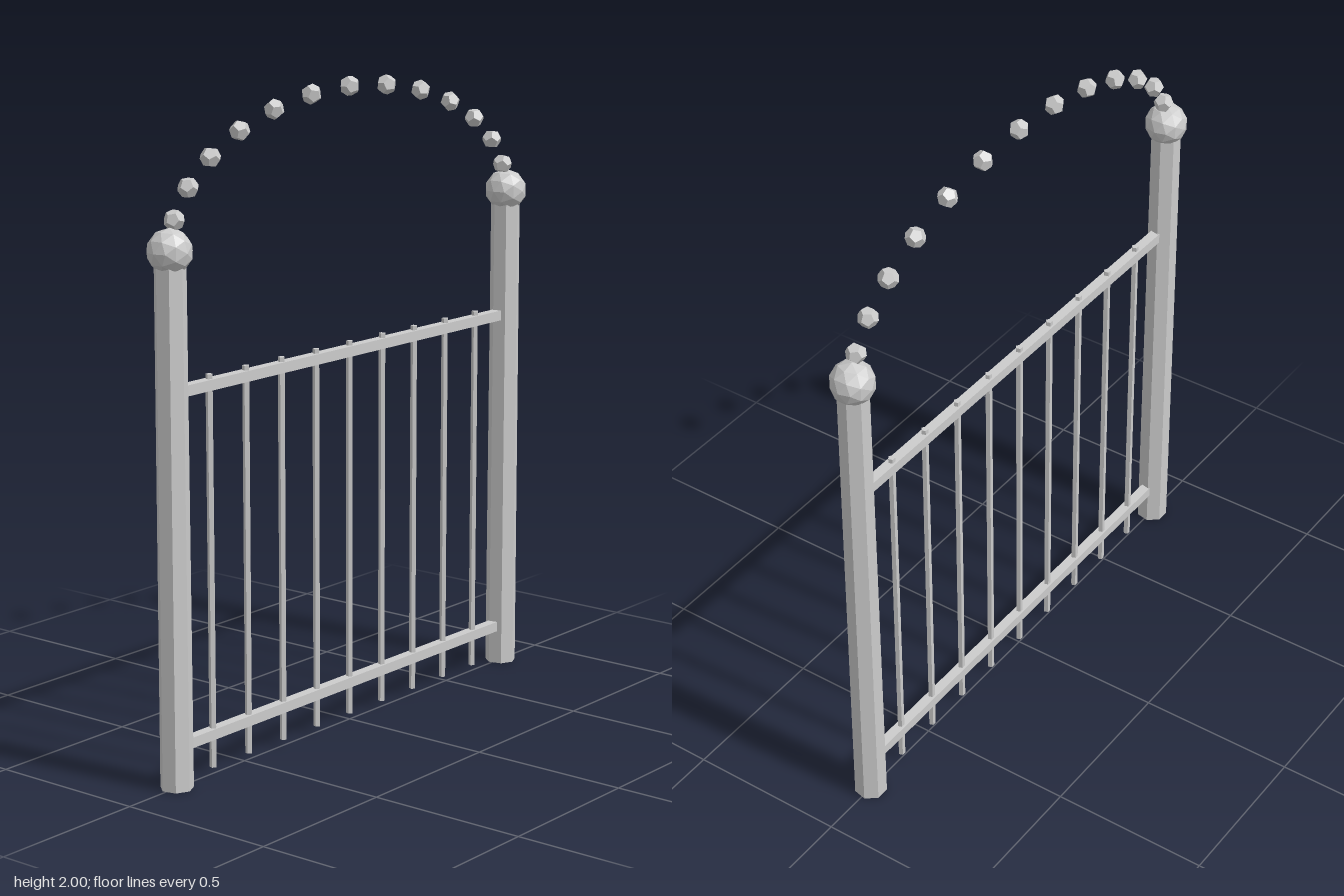
import * as THREE from 'three';

const material = new THREE.MeshStandardMaterial({ color: 0xcccccc, flatShading: true });

function add(parent, name, geometry, x, y, z = 0) {
  const mesh = new THREE.Mesh(geometry, material);
  mesh.name = name;
  mesh.position.set(x, y, z);
  parent.add(mesh);
  return mesh;
}

export function createModel() {
  const group = new THREE.Group();
  group.name = 'gardenGate';

  const postX = 0.8;
  const postTop = 1.57;

  // Posts with faceted ball caps
  const postGeometry = new THREE.CylinderGeometry(0.047, 0.05, postTop, 7);
  const capGeometry = new THREE.IcosahedronGeometry(0.067, 1);
  for (const [side, label] of [[1, 'left'], [-1, 'right']]) {
    add(group, `${label}Post`, postGeometry, side * postX, postTop / 2);
    add(group, `${label}PostCap`, capGeometry, side * postX, 1.573);
  }

  // Horizontal rails, running into the posts
  const railGeometry = new THREE.BoxGeometry(2 * postX, 0.032, 0.032);
  add(group, 'lowerRail', railGeometry, 0, 0.125);
  add(group, 'upperRail', railGeometry, 0, 1.17);

  // Upright bars
  const barGeometry = new THREE.CylinderGeometry(0.011, 0.011, 1.18, 5);
  for (let i = -4; i <= 4; i++) {
    add(group, `bar${i + 5}`, barGeometry, i * 0.16, 0.61);
  }

  // Arch of separate beads along a half ellipse between the caps
  const beadGeometry = new THREE.DodecahedronGeometry(0.031);
  for (let i = 1; i <= 13; i++) {
    const angle = (i * Math.PI) / 14;
    const bead = add(group, `archBead${i}`, beadGeometry,
      postX * Math.cos(angle), postTop + 0.4 * Math.sin(angle));
    bead.rotation.z = angle - Math.PI / 2;
  }

  return group;
}
